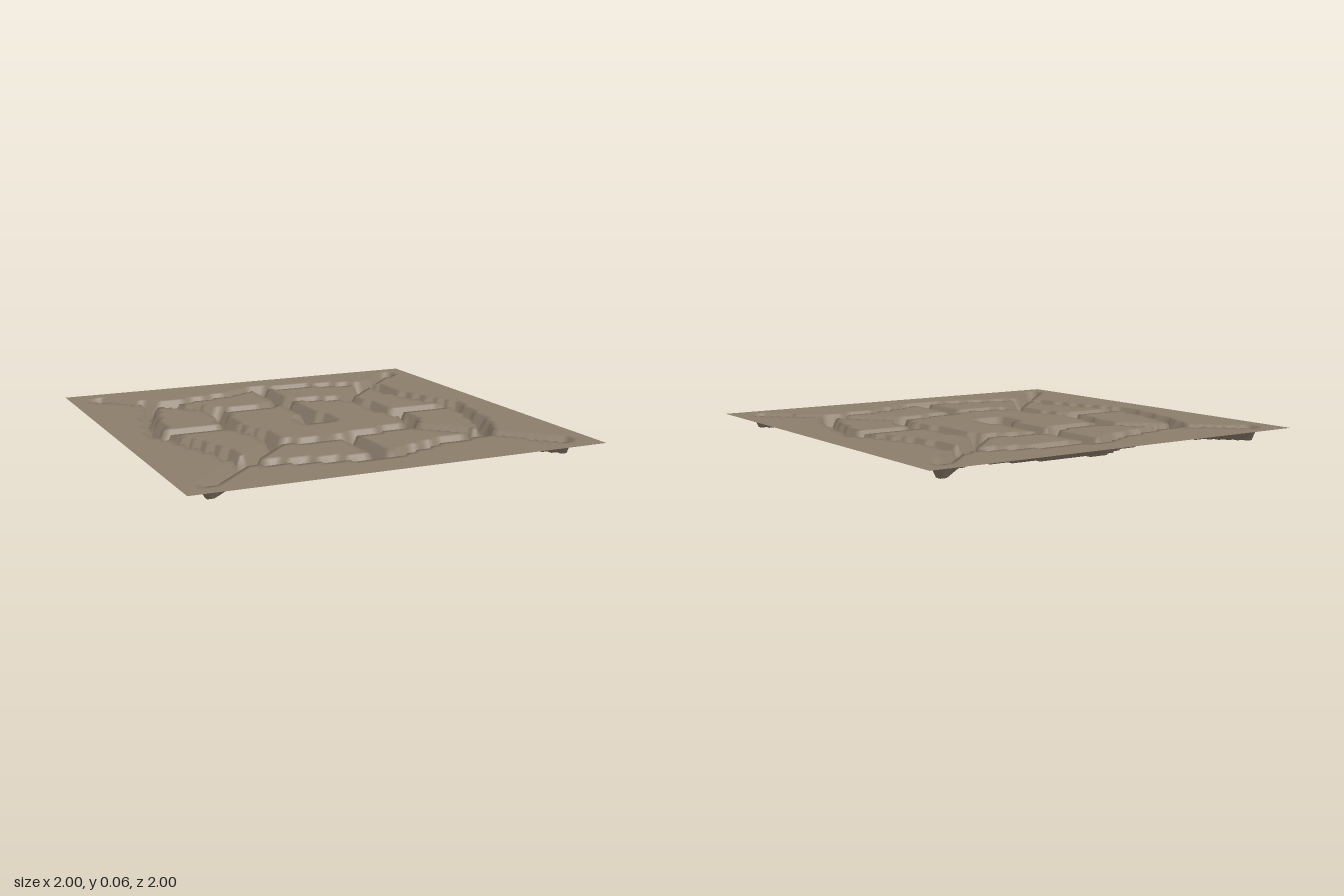
import * as THREE from 'three';

// Square ground sheet with a web of flat-bottomed trenches sunk into it.
const CELLS = 64, TOP = 0.0635, HALF_WIDTH = 0.028;

// Trench centre lines as [x, z] points
const outerRing = [
  [0, -0.8], [0.07, -0.785], [0.35, -0.75], [0.62, -0.66], [0.64, -0.5], [0.66, -0.35],
  [0.72, -0.18], [0.8, -0.02], [0.77, 0.13], [0.72, 0.35], [0.67, 0.5], [0.62, 0.6],
  [0.3, 0.66], [0.1, 0.74], [0, 0.78], [-0.15, 0.76], [-0.35, 0.71], [-0.61, 0.64],
  [-0.65, 0.4], [-0.7, 0.25], [-0.76, 0.1], [-0.81, -0.01], [-0.77, -0.15], [-0.73, -0.4],
  [-0.63, -0.64], [-0.45, -0.65], [-0.2, -0.71], [-0.08, -0.76], [0, -0.8],
];
const innerRing = [
  [0, -0.46], [0.07, -0.44], [0.19, -0.43], [0.27, -0.38], [0.36, -0.39], [0.38, -0.22],
  [0.38, -0.06], [0.42, 0.02], [0.44, 0.12], [0.41, 0.24], [0.36, 0.33], [0.2, 0.34],
  [0.08, 0.36], [0, 0.38], [-0.1, 0.41], [-0.24, 0.38], [-0.35, 0.35], [-0.35, 0.22],
  [-0.39, 0.1], [-0.44, -0.02], [-0.41, -0.2], [-0.38, -0.4], [-0.3, -0.36], [-0.12, -0.35],
  [-0.06, -0.4], [0, -0.46],
];
const spokes = [
  [[0.016, -0.78], [0.016, -0.06]],
  [[0.8, 0.016], [0.42, 0.016]],
  [[-0.016, 0.77], [-0.016, 0.4]],
  [[-0.8, -0.016], [-0.44, -0.016]],
  [[0.87, -0.87], [0.63, -0.66], [0.36, -0.39]],
  [[0.87, 0.87], [0.62, 0.6], [0.37, 0.34]],
  [[-0.87, 0.87], [-0.62, 0.62], [-0.36, 0.36]],
  [[-0.87, -0.87], [-0.62, -0.65], [-0.38, -0.4]],
];
const trenches = [outerRing, innerRing, ...spokes];

// Distance from (x, z) to the segment a-b
function segmentDistance(x, z, [ax, az], [bx, bz]) {
  const dx = bx - ax, dz = bz - az;
  const t = THREE.MathUtils.clamp(((x - ax) * dx + (z - az) * dz) / (dx * dx + dz * dz), 0, 1);
  return Math.hypot(x - ax - t * dx, z - az - t * dz);
}

function isSunken(x, z) {
  if (Math.hypot(x, z) < 0.09) return true; // central pit
  return trenches.some((line) =>
    line.some((p, i) => i > 0 && segmentDistance(x, z, line[i - 1], p) < HALF_WIDTH));
}

export function createModel() {
  const group = new THREE.Group();
  group.name = 'trenchedGround';

  const earth = new THREE.MeshStandardMaterial({ color: 0x8b7d6b, side: THREE.DoubleSide });
  earth.name = 'earth';

  // Grid sheet: points on a trench drop to the floor, all others stay level
  const geometry = new THREE.PlaneGeometry(2, 2, CELLS, CELLS).rotateX(-Math.PI / 2);
  const pos = geometry.attributes.position;
  for (let i = 0; i < pos.count; i++) {
    pos.setY(i, isSunken(pos.getX(i), pos.getZ(i)) ? 0 : TOP);
  }
  geometry.computeVertexNormals();

  const ground = new THREE.Mesh(geometry, earth);
  ground.name = 'ground';
  group.add(ground);
  return group;
}
